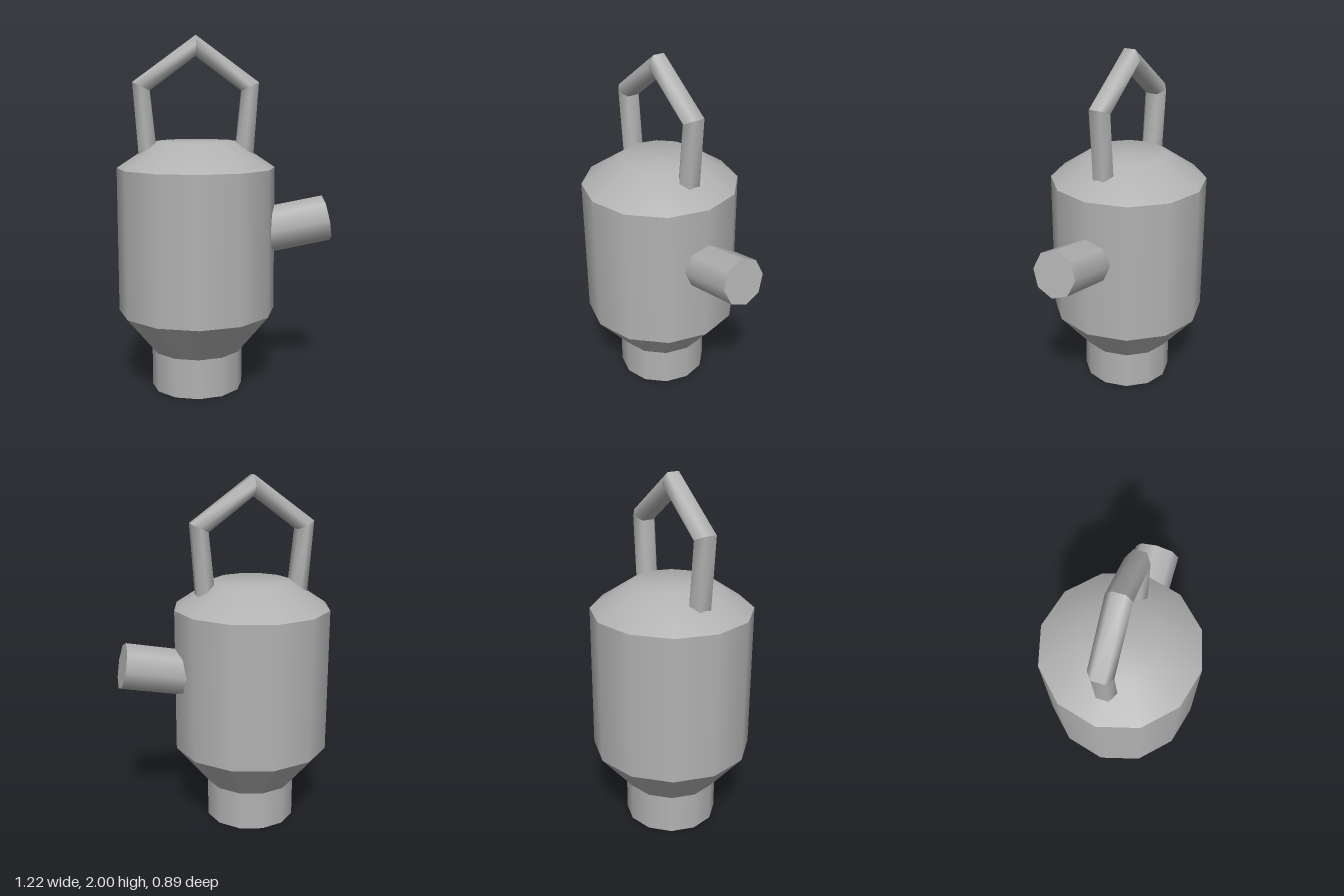
import * as THREE from 'three';

const CX = -0.165; // axis of the body

export function createModel() {
  const group = new THREE.Group();
  const grey = new THREE.MeshStandardMaterial({ color: 0xb2b2b2 });
  grey.name = 'grey';

  const add = (name, geometry, parent = group) => {
    const mesh = new THREE.Mesh(geometry, grey);
    mesh.name = name;
    parent.add(mesh);
    return mesh;
  };

  // Twelve-sided turned section, profile from bottom to top
  const turned = (name, profile, flat = false) => {
    let g = new THREE.LatheGeometry(profile.map(p => new THREE.Vector2(...p)), 12);
    if (flat) {
      g = g.toNonIndexed();
      g.computeVertexNormals();
    }
    add(name, g).position.x = CX;
  };
  turned('base', [[0, 0], [0.26, 0]]);
  turned('neck', [[0.26, 0], [0.26, 0.225]]);
  turned('lowerCone', [[0.26, 0.225], [0.447, 0.45]], true);
  turned('body', [[0.447, 0.45], [0.447, 1.27]]);
  turned('shoulder', [[0.447, 1.27], [0.222, 1.42], [0, 1.42]]);

  // Spout, tilted slightly upwards, its root buried in the body
  const tilt = 0.19, length = 0.46;
  const spout = add('spout', new THREE.CylinderGeometry(0.1325, 0.1325, length, 8));
  spout.rotation.z = tilt - Math.PI / 2;
  spout.position.set(0.58 - Math.cos(tilt) * length / 2, 0.975 - Math.sin(tilt) * length / 2, 0);

  // Handle: hexagonal bar with mitred joints; each ring is [outer x, outer y, inner x, inner y]
  const left = [[-0.318, 1.3, -0.215, 1.3], [-0.35, 1.745, -0.256, 1.70]];
  const right = left.map(([a, b, c, d]) => [-a, b, -c, d]).reverse();
  const rings = [...left, [0, 2.0, 0, 1.89], ...right];
  const handle = new THREE.Group();
  handle.name = 'handle';
  handle.position.x = CX;
  group.add(handle);

  const ringPoints = ([ox, oy, ix, iy]) => {
    const points = [];
    for (let k = 0; k < 6; k++) {
      const a = k * Math.PI / 3;
      const s = Math.sin(a) / Math.sin(Math.PI / 3) / 2; // -0.5 inner .. 0.5 outer
      points.push((ox + ix) / 2 + (ox - ix) * s, (oy + iy) / 2 + (oy - iy) * s, 0.067 * Math.cos(a));
    }
    return points;
  };
  for (let i = 0; i < rings.length - 1; i++) {
    const index = [];
    for (let k = 0; k < 6; k++) {
      const n = (k + 1) % 6;
      index.push(k, k + 6, n, n, k + 6, n + 6);
    }
    const g = new THREE.BufferGeometry();
    g.setAttribute('position', new THREE.Float32BufferAttribute(
      [...ringPoints(rings[i]), ...ringPoints(rings[i + 1])], 3));
    g.setIndex(index);
    g.computeVertexNormals();
    add('handleBar', g, handle);
  }
  return group;
}
